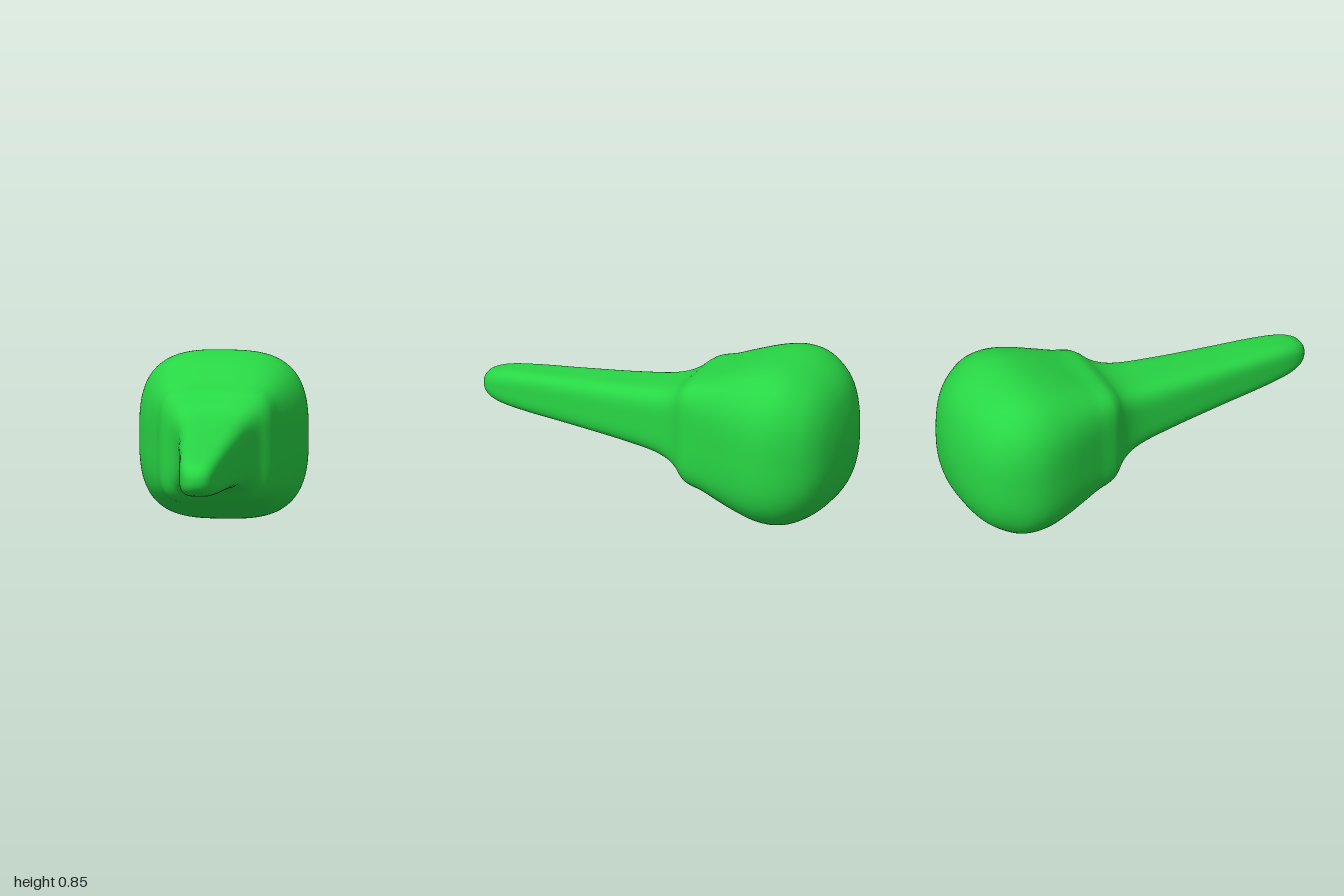
import * as THREE from 'three';
import { mergeVertices } from 'three/addons/utils/BufferGeometryUtils.js';

// Loft of rounded-square rings along z; each station is [z, half width, squareness]
function loftRoundedSquares(stations, rings, sides) {
  const path = new THREE.CatmullRomCurve3(
    stations.map(([z, r, n]) => new THREE.Vector3(r, n * 0.02, z)), false, 'centripetal');
  path.arcLengthDivisions = 800;
  const positions = [], index = [];
  for (let i = 0; i <= rings; i++) {
    const p = path.getPointAt(i / rings);
    const n = p.y / 0.02, half = Math.max(p.x, 0);
    for (let j = 0; j < sides; j++) {
      const a = (j / sides) * Math.PI * 2, c = Math.cos(a), s = Math.sin(a);
      const r = half / Math.pow(Math.abs(c) ** n + Math.abs(s) ** n, 1 / n);
      positions.push(r * c, r * s, p.z);
      if (i < rings) {
        const a0 = i * sides + j, b0 = i * sides + (j + 1) % sides;
        index.push(a0, a0 + sides, b0, b0, a0 + sides, b0 + sides);
      }
    }
  }
  const geometry = new THREE.BufferGeometry();
  geometry.setAttribute('position', new THREE.Float32BufferAttribute(positions, 3));
  geometry.setIndex(index);
  const merged = mergeVertices(geometry, 1e-5); // closes both poles
  merged.computeVertexNormals();
  return merged;
}

export function createModel() {
  const group = new THREE.Group();
  const material = new THREE.MeshStandardMaterial({ color: 0x28d745 });

  const stations = [
    // rounded tip
    [1, 0, 2.2], [0.995, 0.03, 2.3], [0.975, 0.058, 2.5], [0.94, 0.077, 2.8], [0.88, 0.092, 3.2],
    // tapering handle
    [0.75, 0.107, 3.7], [0.5, 0.127, 4], [0.2, 0.155, 4], [0, 0.18, 4.2],
    // flare and collar
    [-0.08, 0.202, 4.5], [-0.135, 0.23, 4.8], [-0.17, 0.258, 5], [-0.205, 0.28, 5], [-0.24, 0.292, 4.8],
    // swelling head
    [-0.3, 0.31, 4.3], [-0.4, 0.35, 3.7], [-0.5, 0.389, 3.3], [-0.6, 0.418, 3.1], [-0.68, 0.427, 3],
    [-0.76, 0.415, 3], [-0.83, 0.385, 2.9],
    // domed back
    [-0.9, 0.332, 2.8], [-0.95, 0.26, 2.6], [-0.98, 0.17, 2.4], [-0.995, 0.08, 2.2], [-1, 0, 2.1],
  ];

  const body = new THREE.Mesh(loftRoundedSquares(stations, 160, 96), material);
  body.name = 'handleAndHead';
  body.position.y = 0.427;
  group.add(body);
  return group;
}
